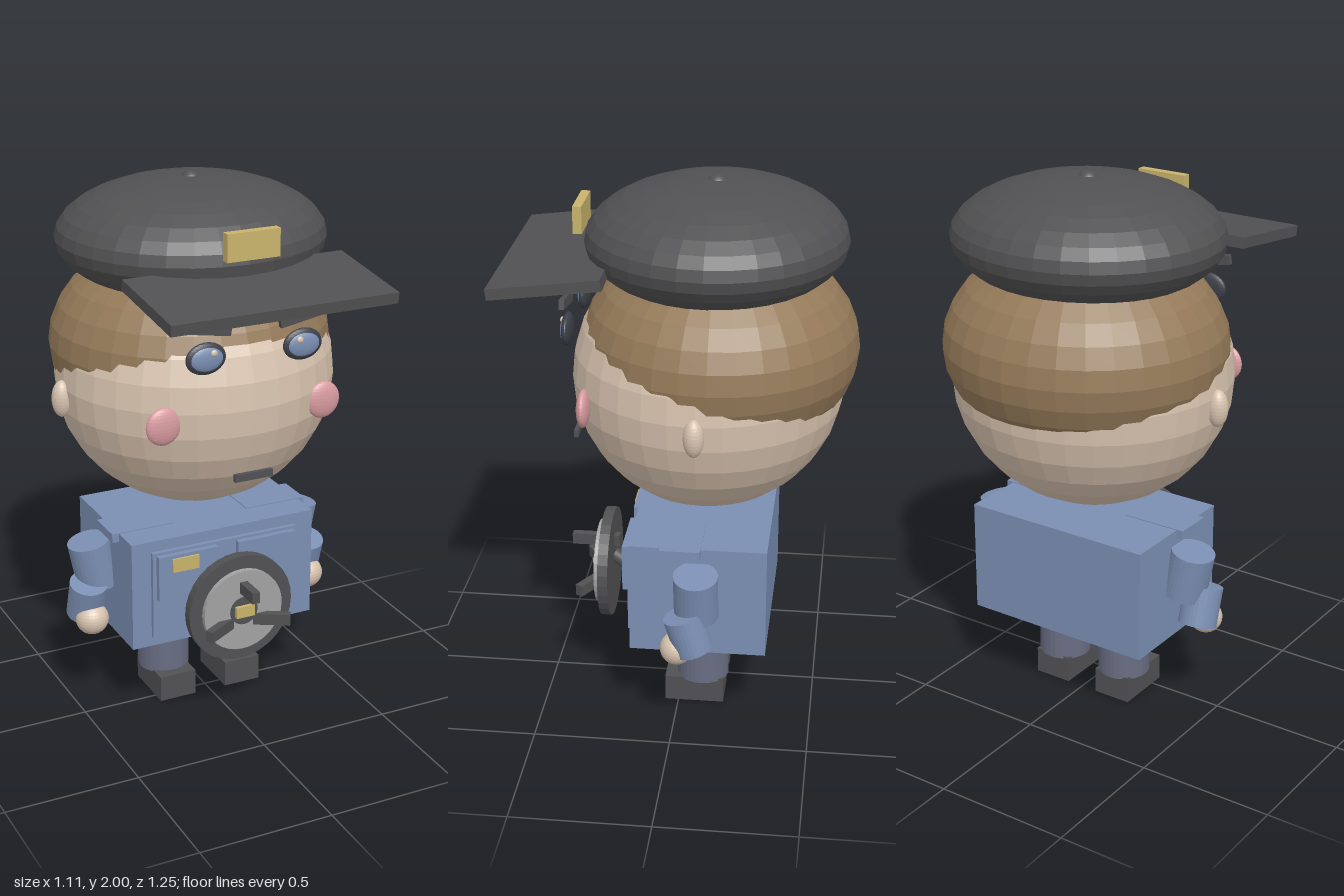
import * as THREE from 'three';

const colours = {
  skin: 0xd8c3af, hair: 0x957a59, blue: 0x7b8fb3, trousers: 0x696d82, dark: 0x515153,
  gold: 0xc9b46c, blush: 0xd89ba0, grey: 0xa2a2a2, eyeRim: 0x3c4049,
};

export function createModel() {
  const root = new THREE.Group();
  root.name = 'officer';

  const mats = {};
  for (const [name, hex] of Object.entries(colours)) {
    mats[name] = new THREE.MeshStandardMaterial({ color: hex });
    mats[name].name = name;
    mats[name].flatShading = true;
  }

  const add = (name, geo, colour, pos, rot = [0, 0, 0], parent = root) => {
    const mesh = new THREE.Mesh(geo, mats[colour]);
    mesh.name = name;
    mesh.position.set(...pos);
    mesh.rotation.set(...rot);
    parent.add(mesh);
    return mesh;
  };
  const box = (name, colour, size, pos, rot, parent) =>
    add(name, new THREE.BoxGeometry(...size), colour, pos, rot, parent);
  const tube = (name, colour, r, h, pos, rot, parent) =>
    add(name, new THREE.CylinderGeometry(r, r, h, 32), colour, pos, rot, parent);
  const ball = (name, colour, radii, pos, parent) =>
    add(name, new THREE.SphereGeometry(1, 32, 16).scale(...radii), colour, pos, [0, 0, 0], parent);

  // Head and hair
  ball('head', 'skin', [0.515, 0.487, 0.49], [0, 1.272, -0.09]);
  ball('hair', 'hair', [0.516, 0.38, 0.497], [0, 1.385, -0.13]);
  box('mouth', 'dark', [0.146, 0.027, 0.016], [0, 1.027, 0.39]);

  // Cap with visor, badge and top button
  ball('capCrown', 'dark', [0.492, 0.21, 0.464], [0, 1.775, -0.115]);
  ball('capButton', 'dark', [0.04, 0.04, 0.04], [0, 1.96, -0.115]);
  box('capVisor', 'dark', [0.835, 0.04, 0.393], [0, 1.703, 0.428], [0.12, 0, 0]);
  box('capBadge', 'gold', [0.198, 0.098, 0.032], [0, 1.848, 0.362]);

  // Torso with front panel and name tag
  box('torso', 'blue', [0.735, 0.42, 0.495], [0, 0.522, -0.087]);
  box('frontPanel', 'blue', [0.585, 0.34, 0.02], [0, 0.52, 0.167]);
  box('nameTag', 'gold', [0.105, 0.053, 0.02], [-0.172, 0.64, 0.195]);

  // Paired parts on both sides
  for (const s of [-1, 1]) {
    const side = s > 0 ? 'left' : 'right';
    const g = new THREE.Group();
    g.name = side + 'SideParts';
    root.add(g);

    // Face
    ball(side + 'Ear', 'skin', [0.037, 0.068, 0.036], [s * 0.52, 1.235, -0.088], g);
    ball(side + 'Cheek', 'blush', [0.065, 0.068, 0.024], [s * 0.31, 1.235, 0.32], g);
    ball(side + 'EyeRim', 'eyeRim', [0.075, 0.057, 0.02], [s * 0.184, 1.483, 0.39], g);
    ball(side + 'Eye', 'blue', [0.063, 0.046, 0.018], [s * 0.184, 1.483, 0.396], g);
    ball(side + 'EyeGlint', 'skin', [0.012, 0.012, 0.008], [s * 0.163, 1.505, 0.411], g);
    box(side + 'Brow', 'dark', [0.182, 0.036, 0.018], [s * 0.183, 1.586, 0.393], [0, 0, s * 0.17], g);

    // Uniform details
    box(side + 'Pocket', 'blue', [0.235, 0.175, 0.026], [s * 0.16, 0.592, 0.185], undefined, g);
    box(side + 'Epaulette', 'blue', [0.245, 0.034, 0.145], [s * 0.272, 0.718, -0.025], undefined, g);

    // Arm
    tube(side + 'UpperArm', 'blue', 0.08, 0.18, [s * 0.417, 0.575, -0.087], [0, 0, -s * 0.2], g);
    tube(side + 'Forearm', 'blue', 0.071, 0.145, [s * 0.455, 0.445, -0.063], [0.3, 0, 0], g);
    ball(side + 'Hand', 'skin', [0.062, 0.06, 0.06], [s * 0.453, 0.377, -0.022], g);

    // Leg
    tube(side + 'Leg', 'trousers', 0.097, 0.23, [s * 0.136, 0.207, -0.087], undefined, g);
    box(side + 'Shoe', 'dark', [0.146, 0.1, 0.22], [s * 0.136, 0.05, -0.06], undefined, g);
  }

  // Steering wheel on a slanted column
  const wheel = new THREE.Group();
  wheel.name = 'steeringWheel';
  wheel.position.set(0, 0.47, 0);
  root.add(wheel);
  const facing = [Math.PI / 2, 0, 0];
  tube('wheelRim', 'dark', 0.207, 0.038, [0, 0, 0.285], facing, wheel);
  tube('wheelDisc', 'grey', 0.157, 0.026, [0, 0, 0.312], facing, wheel);
  tube('wheelHub', 'dark', 0.054, 0.03, [0, 0, 0.316], facing, wheel);
  box('hornButton', 'gold', [0.074, 0.043, 0.03], [0, 0.002, 0.33], undefined, wheel);
  tube('steeringColumn', 'dark', 0.026, 0.18, [0, -0.02, 0.2], [0.95, 0, 0], wheel);
  for (let i = 0; i < 3; i++) {
    const a = (i * Math.PI * 2) / 3;
    box('wheelSpoke', 'dark', [0.03, 0.043, 0.18],
      [Math.sin(a) * 0.1, Math.cos(a) * 0.093, 0.335], [0, -a, 0], wheel);
  }

  return root;
}
